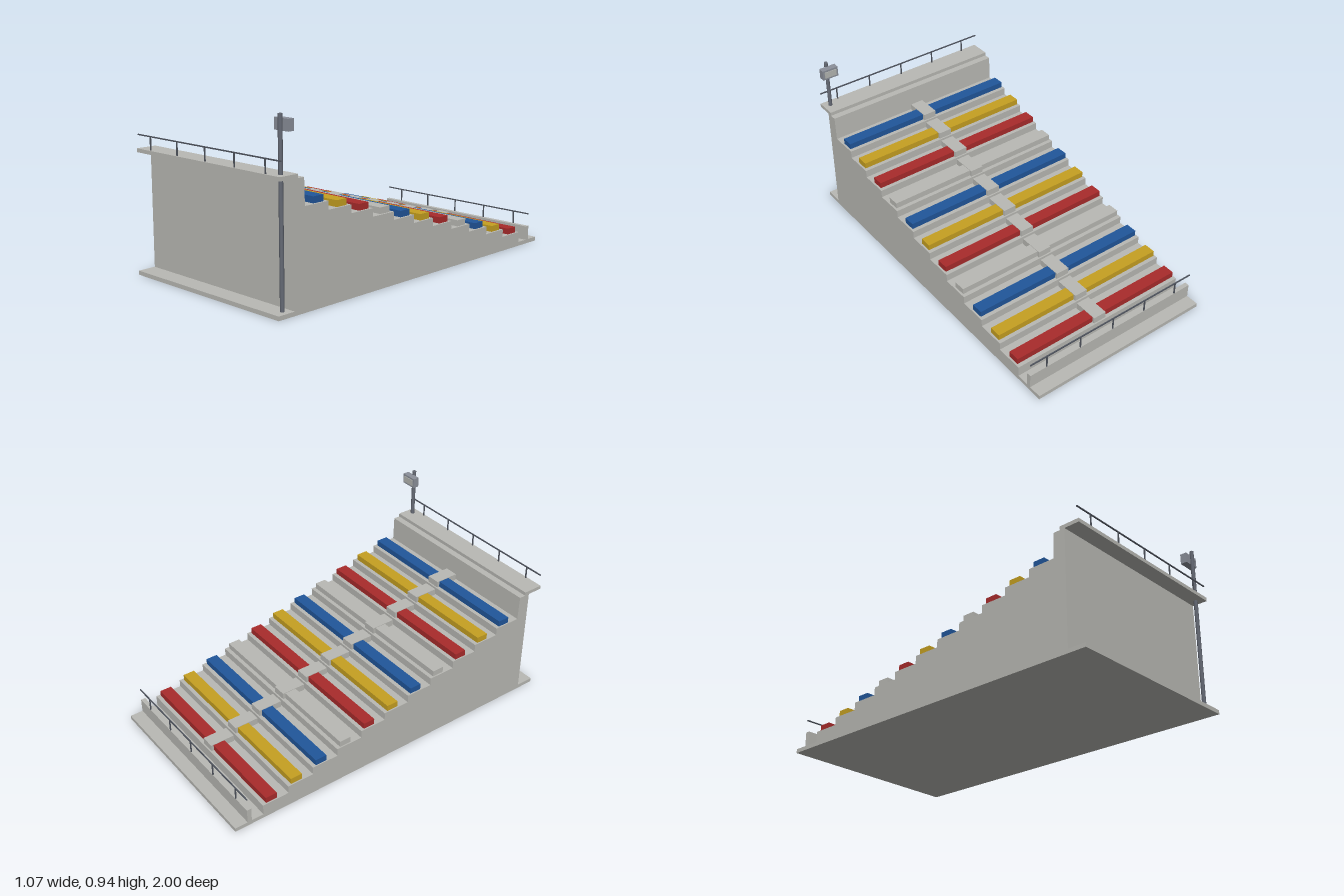
import * as THREE from 'three';

const LEFT = 0.528, RIGHT = -0.537;
const WIDTH = LEFT - RIGHT, MID = (LEFT + RIGHT) / 2;
const ROWS = 11, PITCH = 0.1515, RISE = 0.0425, Z0 = -0.835, Y0 = 0.08;

function material(name, color) {
  const m = new THREE.MeshStandardMaterial({ color });
  m.name = name;
  return m;
}

export function createModel() {
  const concrete = material('concrete', 0xb9b9b4);
  const red = material('redSeat', 0xa92b2b);
  const yellow = material('yellowSeat', 0xc6a021);
  const blue = material('blueSeat', 0x20569b);
  const steel = material('darkSteel', 0x50555f);
  const poleGrey = material('poleGrey', 0x666b76);
  const lampGrey = material('lampGrey', 0x8b909a);
  const lens = material('lampLens', 0xb4b6b2);

  const model = new THREE.Group();
  model.name = 'grandstand';

  // Box given by its extents on each axis
  function box(name, mat, [x0, x1], [y0, y1], [z0, z1], parent = model) {
    const mesh = new THREE.Mesh(new THREE.BoxGeometry(x1 - x0, y1 - y0, z1 - z0), mat);
    mesh.position.set((x0 + x1) / 2, (y0 + y1) / 2, (z0 + z1) / 2);
    mesh.name = name;
    parent.add(mesh);
    return mesh;
  }
  const full = [RIGHT, LEFT];

  // Ground slab
  box('baseSlab', concrete, full, [0, 0.022], [-1, 1]);

  // Stepped terrace with the tall rear wall, extruded across the width
  const profile = new THREE.Shape();
  profile.moveTo(-Z0, 0.022);
  for (let k = 0; k < ROWS; k++) {
    const y = Y0 + k * RISE;
    profile.lineTo(-(Z0 + k * PITCH), y);
    profile.lineTo(-(Z0 + (k + 1) * PITCH), y);
  }
  profile.lineTo(-0.835, 0.64);
  profile.lineTo(-0.9, 0.64);
  profile.lineTo(-0.9, 0.022);
  const terraceGeo = new THREE.ExtrudeGeometry(profile, { depth: WIDTH, bevelEnabled: false });
  terraceGeo.rotateY(Math.PI / 2);
  const terrace = new THREE.Mesh(terraceGeo, concrete);
  terrace.position.x = RIGHT;
  terrace.name = 'steppedTerrace';
  model.add(terrace);

  // Benches either side of the aisle, with a step block in the aisle
  const seatColors = [red, yellow, blue, concrete];
  for (let k = 0; k < ROWS; k++) {
    const row = new THREE.Group();
    row.name = 'seatRow' + (k + 1);
    const y = Y0 + k * RISE, z = Z0 + k * PITCH;
    const seatZ = [z + 0.022, z + 0.088], seatY = [y, y + 0.033];
    const mat = seatColors[k % seatColors.length];
    box('benchRight', mat, [-0.53, -0.041], seatY, seatZ, row);
    box('benchLeft', mat, [0.032, 0.517], seatY, seatZ, row);
    box('aisleStep', concrete, [-0.043, 0.034], [y, y + 0.036], [z + 0.008, z + 0.145], row);
    model.add(row);
  }

  // Rear wall cap and low parapet
  box('rearWallCap', concrete, full, [0.64, 0.66], [0.872, 0.985]);
  box('lowParapet', concrete, full, [0.022, 0.1], [-0.928, -0.903]);

  // Railings: a bar on five posts
  function railing(name, baseY, z) {
    const rail = new THREE.Group();
    rail.name = name;
    const t = 0.003;
    box('railBar', steel, full, [baseY + 0.067, baseY + 0.073], [z - t, z + t], rail);
    for (let i = 0; i < 5; i++) {
      const x = MID + (i - 2) * 0.214;
      box('railPost', steel, [x - t, x + t], [baseY, baseY + 0.068], [z - t, z + t], rail);
    }
    model.add(rail);
  }
  railing('rearRailing', 0.66, 0.975);
  railing('lowRailing', 0.1, -0.925);

  // Floodlight mast
  const mast = new THREE.Group();
  mast.name = 'floodlight';
  const pole = new THREE.Mesh(new THREE.CylinderGeometry(0.011, 0.011, 0.915, 8), poleGrey);
  pole.position.set(0.489, 0.022 + 0.4575, 0.942);
  pole.name = 'mastPole';
  mast.add(pole);
  box('lampHousing', lampGrey, [0.442, 0.535], [0.858, 0.915], [0.9, 0.936], mast);
  box('lampLens', lens, [0.453, 0.524], [0.869, 0.904], [0.896, 0.901], mast);
  model.add(mast);

  return model;
}
